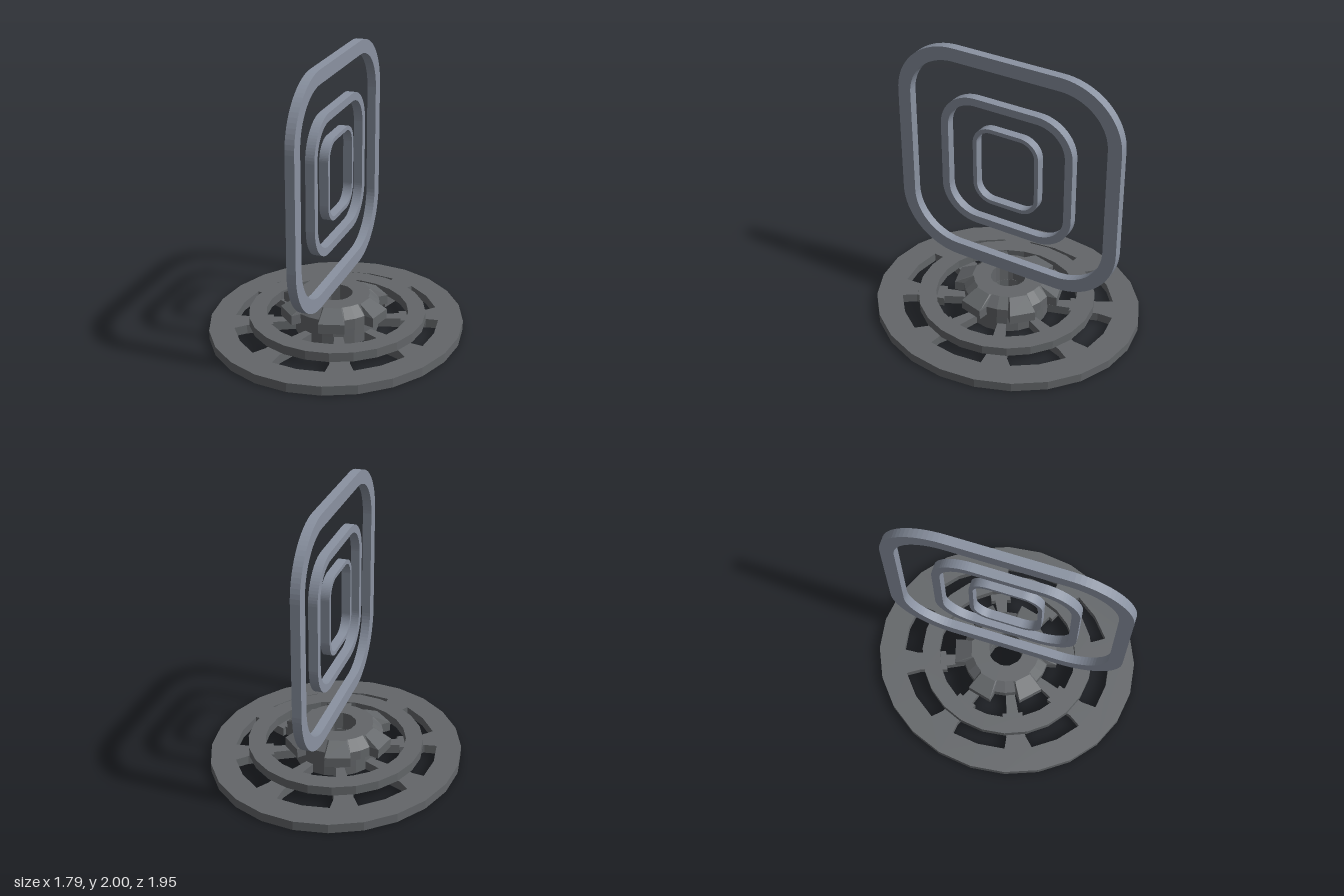
import * as THREE from 'three';

const baseMat = new THREE.MeshStandardMaterial({ color: 0x636669, flatShading: true });
baseMat.name = 'dark grey metal';
const frameMat = new THREE.MeshStandardMaterial({ color: 0x8a92a1 });
frameMat.name = 'blue grey metal';

function addMesh(group, name, geometry, material) {
  const mesh = new THREE.Mesh(geometry, material);
  mesh.name = name;
  group.add(mesh);
}

// Point on an ellipse, counter-clockwise in 15 degree steps
const onEllipse = (rx, rz, step) => {
  const a = (step * Math.PI) / 12;
  return new THREE.Vector2(-rx * Math.sin(a), rz * Math.cos(a));
};
const ellipsePoints = (rx, rz, n = 24) =>
  Array.from({ length: n }, (_, i) => onEllipse(rx, rz, (i * 24) / n));

// Flat horizontal plate with holes
function plate(outline, holes, y, height) {
  const shape = new THREE.Shape(outline);
  shape.holes = holes.map((h) => new THREE.Path(h));
  const g = new THREE.ExtrudeGeometry(shape, { depth: height, bevelEnabled: false });
  return g.rotateX(-Math.PI / 2).translate(0, y, 0);
}

// Rounded rectangle with elliptical corners
function roundedRect(target, w, y0, y1, flatW, flatY0, flatY1) {
  const rx = w - flatW, rt = y1 - flatY1, rb = flatY0 - y0, h = Math.PI / 2;
  target.moveTo(w, flatY0);
  target.lineTo(w, flatY1);
  target.absellipse(flatW, flatY1, rx, rt, 0, h, false);
  target.absellipse(-flatW, flatY1, rx, rt, h, 2 * h, false);
  target.absellipse(-flatW, flatY0, rx, rb, 2 * h, 3 * h, false);
  target.absellipse(flatW, flatY0, rx, rb, 3 * h, 4 * h, false);
  return target;
}

function frame(w, y0, y1, band, flatW, flatY0, flatY1) {
  const shape = roundedRect(new THREE.Shape(), w, y0, y1, flatW, flatY0, flatY1);
  shape.holes.push(
    roundedRect(new THREE.Path(), w - band, y0 + band * 0.97, y1 - band * 0.97, flatW, flatY0, flatY1));
  const g = new THREE.ExtrudeGeometry(shape, { depth: 0.064, bevelEnabled: false, curveSegments: 10 });
  return g.translate(0, 0, -0.032).rotateY(-Math.PI / 2);
}

// Six-toothed hub with sloping top and a bore, lofted from rings
function toothedHub() {
  const angles = [], isTooth = [];
  for (let t = 0; t < 6; t++) {
    for (const [d, tooth] of [[-16, 0], [-13.5, 1], [13.5, 1], [16, 0], [30, 0]]) {
      angles.push(((t * 60 - 16 + d) * Math.PI) / 180);
      isTooth.push(tooth);
    }
  }
  const rings = [ // gap radius, tooth radius, height
    [0.32, 0.39, 0.13], [0.32, 0.39, 0.2], [0.25, 0.262, 0.265],
    [0.128, 0.128, 0.265], [0.128, 0.128, 0.13],
  ];
  const n = angles.length, pos = [], index = [];
  for (const [gap, tooth, y] of rings) {
    angles.forEach((a, j) => {
      const r = isTooth[j] ? tooth : gap;
      pos.push(r * Math.sin(a), y, -r * Math.cos(a));
    });
  }
  for (let k = 0; k < rings.length; k++) {
    const lo = k * n, hi = ((k + 1) % rings.length) * n;
    for (let j = 0; j < n; j++) {
      const m = (j + 1) % n;
      index.push(lo + m, lo + j, hi + j, lo + m, hi + j, hi + m);
    }
  }
  const g = new THREE.BufferGeometry();
  g.setAttribute('position', new THREE.Float32BufferAttribute(pos, 3));
  g.setIndex(index);
  const flat = g.toNonIndexed();
  flat.computeVertexNormals();
  return flat.translate(-0.015, 0, 0);
}

export function createModel() {
  const model = new THREE.Group();
  model.name = 'stand with nested frames';

  // Spoked wheel: eight windows, straight-sided outside and stepped around the spokes inside
  const side = [ // rx, rz, half-width in angle steps
    [0.72, 0.785, 1], [0.635, 0.675, 1.095], [0.455, 0.465, 0.88], [0.455, 0.465, 1.13], [0.295, 0.3, 1.1],
  ];
  const windows = [];
  for (let i = 0; i < 8; i++) {
    const s = i * 3;
    windows.push([
      ...side.map(([rx, rz, d]) => onEllipse(rx, rz, s + d)),
      onEllipse(0.295, 0.3, s),
      ...side.map(([rx, rz, d]) => onEllipse(rx, rz, s - d)).reverse(),
      onEllipse(0.72, 0.785, s),
    ]);
  }
  const bore = ellipsePoints(0.128, 0.128, 12).map((p) => p.setX(p.x - 0.015));
  addMesh(model, 'spokedBase', plate(ellipsePoints(0.895, 0.977), [...windows, bore], 0, 0.066), baseMat);

  // Raised ring and hub above the wheel
  const ring = plate(ellipsePoints(0.628, 0.645), [ellipsePoints(0.505, 0.515)], 0.066, 0.066);
  addMesh(model, 'raisedRing', ring.translate(0.006, 0, 0.004), baseMat);
  addMesh(model, 'hubCollar', plate(ellipsePoints(0.295, 0.3), [bore], 0.066, 0.066), baseMat);
  addMesh(model, 'toothedHub', toothedHub(), baseMat);

  // Three nested upright frames
  addMesh(model, 'outerFrame', frame(0.857, 0.341, 2, 0.1, 0.4, 0.78, 1.575), frameMat);
  addMesh(model, 'middleFrame', frame(0.512, 0.675, 1.67, 0.058, 0.235, 0.935, 1.405), frameMat);
  addMesh(model, 'innerFrame', frame(0.256, 0.875, 1.47, 0.03, 0.11, 1.02, 1.33), frameMat);
  return model;
}
